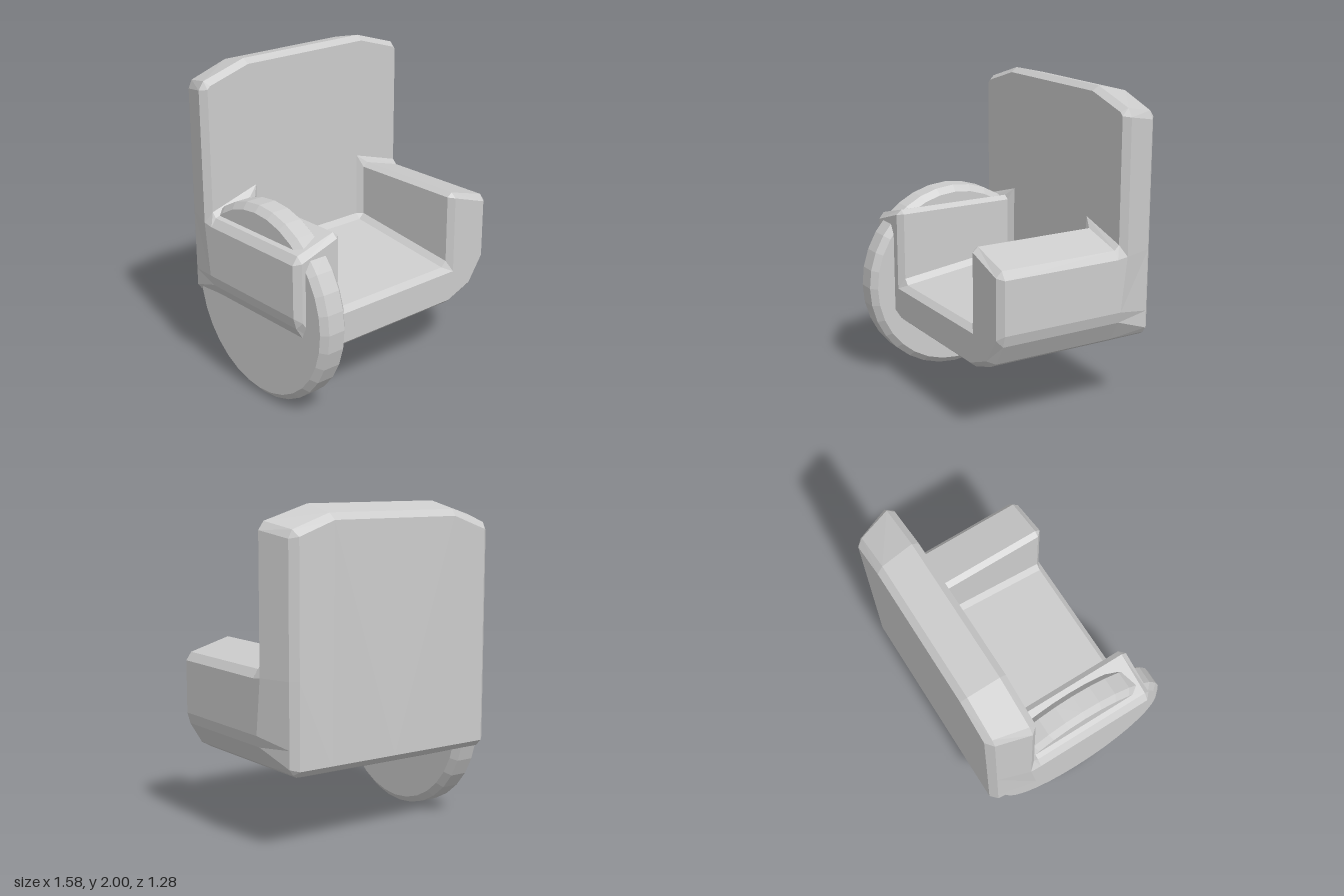
import * as THREE from 'three';

const grey = new THREE.MeshStandardMaterial({ color: 0xcccccc });
grey.name = 'plain grey';

// Put a list of [x, y] points on a plane of constant z
const ring = (z, pts) => pts.map(([x, y]) => [x, y, z]);

// Collects the triangles of the +x half and mirrors each to -x
function halfBuilder() {
  const pos = [];
  const tri = (a, b, c) => {
    const va = new THREE.Vector3(...a);
    const area = new THREE.Vector3(...b).sub(va).cross(new THREE.Vector3(...c).sub(va)).length();
    if (area < 1e-7) return;
    pos.push(...a, ...b, ...c);
    for (const p of [a, c, b]) pos.push(-p[0], p[1], p[2]);
  };
  // Skin between a front cross-section and the next one behind it
  const strip = (f, b) => {
    for (let i = 0; i < f.length - 1; i++) {
      tri(f[i], b[i], b[i + 1]);
      tri(f[i], b[i + 1], f[i + 1]);
    }
  };
  // Flat polygon facing +z, or -z when back is true
  const cap = (pts, back = false) => {
    const p = pts.filter((q, i) => !i || q.some((v, k) => v !== pts[i - 1][k]));
    const flat = p.map(([x, y]) => new THREE.Vector2(x, y));
    for (const [a, b, c] of THREE.ShapeUtils.triangulateShape(flat, [])) {
      const ccw = flat[b].clone().sub(flat[a]).cross(flat[c].clone().sub(flat[a])) > 0;
      if (ccw !== back) tri(p[a], p[b], p[c]);
      else tri(p[a], p[c], p[b]);
    }
  };
  const mesh = (name) => {
    const g = new THREE.BufferGeometry();
    g.setAttribute('position', new THREE.Float32BufferAttribute(pos, 3));
    g.computeVertexNormals();
    const m = new THREE.Mesh(g, grey);
    m.name = name;
    return m;
  };
  return { strip, cap, mesh };
}

export function createModel() {
  const model = new THREE.Group();
  model.name = 'wheeledArmchair';

  // Outer side of the seat, from bottom centre up to the arm
  const outer = [[0, 0.4], [0.46, 0.4], [0.63, 0.455], [0.69, 0.49], [0.77, 0.62], [0.79, 0.69]];
  const arm = [[0.79, 1.02], [0.755, 1.07], [0.49, 1.145], [0.455, 1.12]];

  // Seat cross-sections, front to back; the seat rises towards the rear
  const nose = ring(0.48, [[0, 0.43], [0.455, 0.43], [0.64, 0.5], [0.64, 0.5], [0.75, 0.66], [0.75, 0.66],
    [0.75, 1.03], [0.75, 1.03], [0.49, 1.115], [0.49, 1.115], [0.49, 0.62], [0.49, 0.62], [0, 0.62]]);
  const front = ring(0.445, [...outer, ...arm, [0.455, 0.69], [0.42, 0.655], [0, 0.655]]);
  const rear = ring(-0.33, [...outer, ...arm, [0.455, 0.79], [0.42, 0.755], [0, 0.755]]);
  const shoulder = [0.79, 1.03, -0.4];
  const join = [...ring(-0.36, outer), shoulder,
    ...ring(-0.36, [[0.755, 1.1], [0.42, 1.2], [0.42, 1.2], [0.42, 0.79], [0.42, 0.79], [0, 0.79]])];

  const seat = halfBuilder();
  seat.cap(nose);
  seat.strip(nose, front);
  seat.strip(front, rear);
  seat.strip(rear, join);
  model.add(seat.mesh('seatAndArms'));

  // Backrest cross-sections, tapering to a bevelled rear face
  const face = ring(-0.36, [[0.755, 1.1], [0.755, 1.865], [0.735, 1.885], [0.455, 1.97], [0, 1.97]]);
  const rim = [shoulder, ...ring(-0.4, [[0.79, 1.86], [0.755, 1.91], [0.46, 2], [0, 2]])];
  const taper = ring(-0.6, [[0, 0.48], [0.46, 0.48], [0.68, 0.48], [0.7, 0.495], [0.725, 0.53], [0.725, 0.64],
    [0.725, 1.03], [0.725, 1.82], [0.7, 1.87], [0.45, 1.955], [0, 1.955]]);
  const back = ring(-0.64, [[0, 0.52], [0.46, 0.52], [0.68, 0.52], [0.68, 0.52], [0.68, 0.52], [0.68, 0.64],
    [0.68, 1.03], [0.68, 1.81], [0.68, 1.83], [0.44, 1.915], [0, 1.915]]);

  const backrest = halfBuilder();
  backrest.cap([...join.slice(7).reverse(), ...face]);
  backrest.strip(face, rim);
  backrest.strip([...join.slice(0, 6), ...rim], taper);
  backrest.strip(taper, back);
  backrest.cap(back, true);
  model.add(backrest.mesh('backrest'));

  // Single bevelled disc wheel on the right side
  const profile = [[0, -0.093], [0.58, -0.093], [0.62, -0.057], [0.62, 0.057], [0.58, 0.093], [0, 0.093]];
  const disc = new THREE.LatheGeometry(profile.map(([r, h]) => new THREE.Vector2(r, h)), 32).toNonIndexed();
  disc.computeVertexNormals();
  const wheel = new THREE.Mesh(disc, grey);
  wheel.name = 'wheel';
  wheel.rotation.z = Math.PI / 2;
  wheel.position.set(-0.632, 0.62, 0.022);
  model.add(wheel);

  return model;
}
